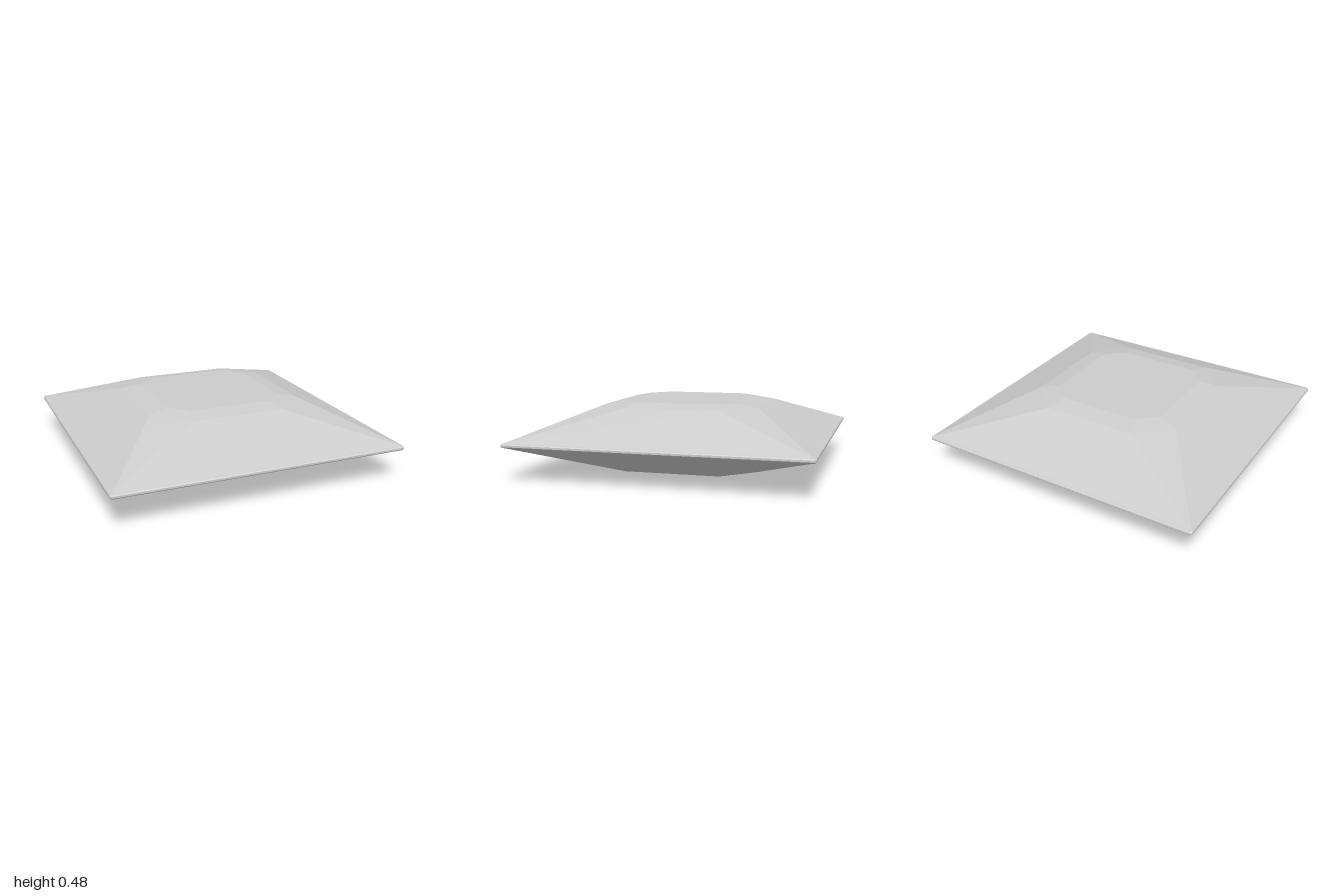
import * as THREE from 'three';

const MID = 0.24; // height of the rim's centre line

// Upper half profile, rim to crown: height above MID, half width, half length of the straight edge
const PROFILE = [
  [0.006, 1.0, 0.988],
  [0.013, 0.993, 0.984],
  [0.016, 0.98, 0.972],
  [0.215, 0.54, 0.325],
  [0.24, 0.41, 0.285],
  [0.24, 0, 0],
];

// Square with chamfered corners, as eight points
function octagon(y, h, e) {
  return [[h, -e], [h, e], [e, h], [-e, h], [-h, e], [-h, -e], [-e, -h], [e, -h]]
    .map(([x, z]) => new THREE.Vector3(x, y, z));
}

// Flat-faced skin through rings ordered from bottom to top
function loft(rings) {
  const points = [];
  for (let i = 0; i < rings.length - 1; i++) {
    const lower = rings[i], upper = rings[i + 1];
    for (let j = 0; j < 8; j++) {
      const k = (j + 1) % 8;
      if (lower[j].distanceTo(lower[k]) > 0) points.push(lower[j], upper[j], lower[k]);
      if (upper[j].distanceTo(upper[k]) > 0) points.push(lower[k], upper[j], upper[k]);
    }
  }
  const geometry = new THREE.BufferGeometry().setFromPoints(points);
  geometry.computeVertexNormals();
  return geometry;
}

export function createModel() {
  const group = new THREE.Group();
  group.name = 'facetedSlab';
  const material = new THREE.MeshStandardMaterial({ color: 0xcccccc, flatShading: true });

  const addPart = (name, rings) => {
    const mesh = new THREE.Mesh(loft(rings), material);
    mesh.name = name;
    group.add(mesh);
  };

  const top = PROFILE.map(([y, h, e]) => octagon(MID + y, h, e));
  const bottom = PROFILE.map(([y, h, e]) => octagon(MID - y, h, e)).reverse();

  // Sloping underside, thin bevelled rim, and matching upper side
  addPart('lowerShell', bottom.slice(0, 4));
  addPart('rim', [...bottom.slice(3), ...top.slice(0, 3)]);
  addPart('upperShell', top.slice(2));
  return group;
}
